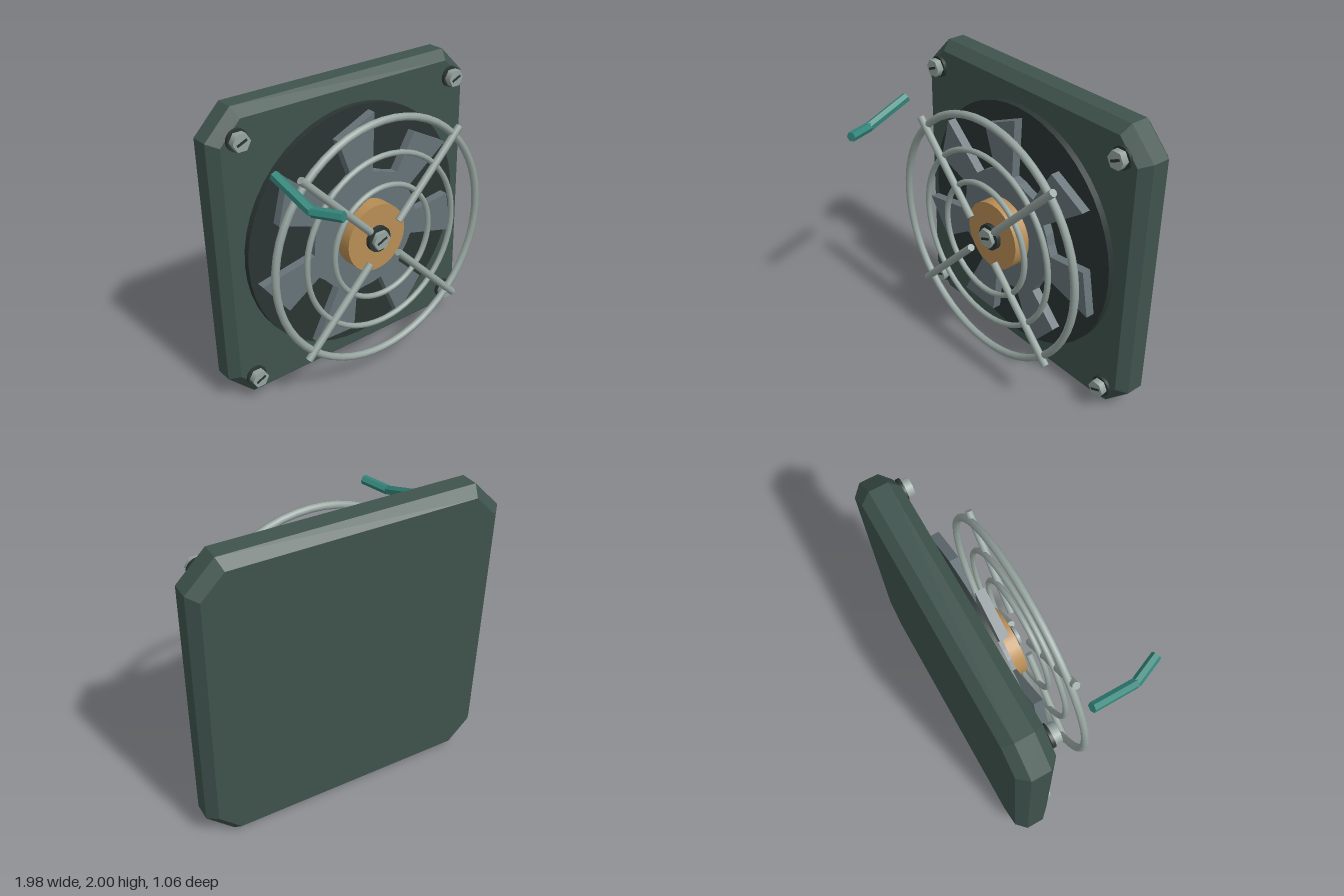
import * as THREE from 'three';

const mat = (name, color, flat = false) => {
  const m = new THREE.MeshStandardMaterial({ color, flatShading: flat });
  m.name = name;
  return m;
};

export function createModel() {
  const group = new THREE.Group();
  const green = mat('dark green housing', 0x3f534d, true);
  const dark = mat('charcoal', 0x2b3533);
  const blade = mat('blade grey', 0x667378, true);
  const metal = mat('bright metal', 0x95a39e);
  const brass = mat('brass', 0xb88d54);
  const teal = mat('teal', 0x33857a, true);

  const add = (name, geo, material, x = 0, y = 0, z = 0, parent = group) => {
    const mesh = new THREE.Mesh(geo, material);
    mesh.name = name;
    mesh.position.set(x, y, z);
    parent.add(mesh);
    return mesh;
  };
  // cylinder along z, between two depths
  const disc = (r, z0, z1, sides) =>
    new THREE.CylinderGeometry(r, r, z1 - z0, sides).rotateX(Math.PI / 2).translate(0, 0, (z0 + z1) / 2);
  // straight rod between two points
  const rod = (name, a, b, r, sides, material) => {
    const d = b.clone().sub(a);
    const mesh = add(name, new THREE.CylinderGeometry(r, r, d.length(), sides), material);
    mesh.position.copy(a).add(b).multiplyScalar(0.5);
    mesh.quaternion.setFromUnitVectors(new THREE.Vector3(0, 1, 0), d.normalize());
    return mesh;
  };
  const polar = (r, deg) => {
    const a = THREE.MathUtils.degToRad(deg);
    return new THREE.Vector2(r * Math.cos(a), r * Math.sin(a));
  };

  // housing: bevelled plate with cut corners
  const w = 0.93, h = 0.94, c = 0.145;
  const outline = new THREE.Shape([
    [w, -h + c], [w, h - c], [w - c, h], [-w + c, h],
    [-w, h - c], [-w, -h + c], [-w + c, -h], [w - c, -h],
  ].map(([x, y]) => new THREE.Vector2(x, y)));
  add('housing', new THREE.ExtrudeGeometry(outline, {
    depth: 0.118, bevelEnabled: true, bevelSegments: 1, bevelSize: 0.06, bevelThickness: 0.063,
  }), green, 0, 1, -0.468);

  // dark opening behind the fan
  add('fanOpening', disc(0.835, -0.3, -0.245, 48), dark, 0, 1);

  // fan rotor: seven swept blades around a flat disc
  const rotor = new THREE.Shape();
  for (let i = 0; i < 7; i++) {
    const t = 84.7 + i * 360 / 7;
    const pts = [polar(0.41, t - 3), polar(0.805, t), polar(0.71, t + 22), polar(0.43, t + 20),
      polar(0.41, t + 29), polar(0.41, t + 39)];
    pts.forEach((p, j) => (i + j ? rotor.lineTo(p.x, p.y) : rotor.moveTo(p.x, p.y)));
  }
  rotor.closePath();
  add('fanBlades', new THREE.ExtrudeGeometry(rotor, { depth: 0.06, bevelEnabled: false }), blade, 0, 1, -0.215);
  add('hub', disc(0.23, -0.155, -0.045, 32), brass, 0, 1);

  // slotted hex bolt on a round washer
  const bolt = (name, x, y, z, washerR, washerT, headR, headT) => {
    const g = new THREE.Group();
    g.name = name;
    g.position.set(x, y, z);
    group.add(g);
    add('washer', disc(washerR, 0, washerT, 20), dark, 0, 0, 0, g);
    add('hexHead', disc(headR, washerT, washerT + headT, 6).rotateZ(Math.PI / 6), metal, 0, 0, 0, g);
    const slot = add('slot', new THREE.BoxGeometry(headR * 1.2, 0.016, 0.006), dark, 0, 0, washerT + headT, g);
    slot.rotation.z = 0.4;
  };
  bolt('hubBolt', 0, 1, -0.045, 0.088, 0.03, 0.068, 0.025);
  for (const sx of [-1, 1]) {
    for (const sy of [-1, 1]) bolt('cornerBolt', sx * 0.825, 1 + sy * 0.825, -0.285, 0.07, 0.02, 0.06, 0.045);
  }

  // wire guard: three rings and four diagonal spokes
  for (const [R, r] of [[0.818, 0.025], [0.592, 0.019], [0.383, 0.019]]) {
    add('guardRing', new THREE.TorusGeometry(R, r, 8, 56), metal, 0, 1, 0.016);
  }
  for (const sx of [-1, 1]) {
    for (const sy of [-1, 1]) {
      rod('guardSpoke', new THREE.Vector3(sx * 0.115, 1 + sy * 0.115, 0.032),
        new THREE.Vector3(sx * 0.62, 1 + sy * 0.625, 0.032), 0.025, 8, metal);
    }
  }

  // bent lever in two hexagonal lengths
  const lever = [[-0.785, 1.705, 0.025], [-0.762, 1.597, 0.335], [-0.685, 1.613, 0.515]]
    .map((p) => new THREE.Vector3(...p));
  rod('leverArm', lever[0], lever[1], 0.032, 6, teal);
  rod('leverTip', lever[1], lever[2], 0.032, 6, teal);

  return group;
}
